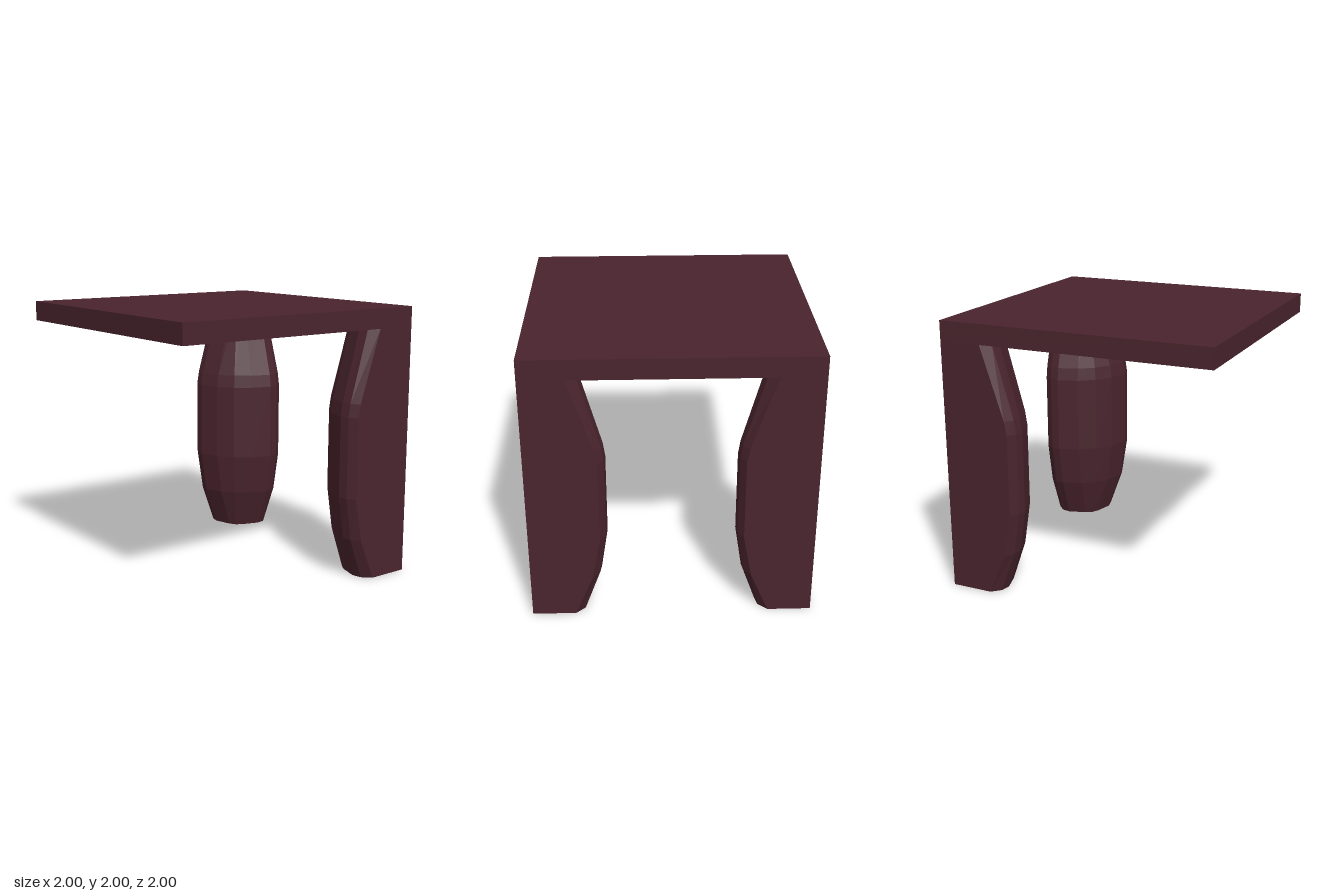
import * as THREE from 'three';

const UNDERSIDE = 1.855;

// Leg levels: height and reach from the square outer corner
const LEVELS = [[0, 0.39], [0.31, 0.5], [0.63, 0.55], [1.23, 0.55], [1.33, 0.535], [UNDERSIDE, 0.39]];

// Half of the cross-section for the slimmest and fullest reach; mirrored over the diagonal
const SLIM = [[0, 0.31], [0.06, 0.375], [0.13, 0.39], [0.27, 0.35], [0.32, 0.32]];
const FULL = [[0, 0.5], [0.06, 0.54], [0.13, 0.55], [0.29, 0.5], [0.41, 0.41]];

function section(reach) {
  const t = (reach - 0.39) / 0.16;
  const half = SLIM.map(([u, v], i) => [
    THREE.MathUtils.lerp(u, FULL[i][0], t),
    THREE.MathUtils.lerp(v, FULL[i][1], t),
  ]);
  const mirrored = half.slice(0, -1).reverse().map(([u, v]) => [v, u]);
  return [[0, 0], ...half, ...mirrored];
}

// Loft the sections; the outer corner sits at x = 1, z = -1
function legGeometry() {
  const positions = [];
  const index = [];
  const n = section(0.39).length;
  for (const [y, reach] of LEVELS) {
    for (const [u, v] of section(reach)) positions.push(1 - u, y, -1 + v);
  }
  for (let r = 0; r < LEVELS.length - 1; r++) {
    for (let i = 0; i < n; i++) {
      const a = r * n + i;
      const b = r * n + (i + 1) % n;
      index.push(a, a + n, b, b, a + n, b + n);
    }
  }
  // End caps fan out from the outer corner
  const top = (LEVELS.length - 1) * n;
  for (let i = 1; i < n - 1; i++) {
    index.push(0, i, i + 1);
    index.push(top, top + i + 1, top + i);
  }
  const geometry = new THREE.BufferGeometry();
  geometry.setAttribute('position', new THREE.Float32BufferAttribute(positions, 3));
  geometry.setIndex(index);
  const faceted = geometry.toNonIndexed();
  faceted.computeVertexNormals();
  return faceted;
}

export function createModel() {
  const model = new THREE.Group();
  model.name = 'table';
  const wood = new THREE.MeshStandardMaterial({ color: 0x4a242e });
  wood.name = 'dark red wood';

  // Square top
  const top = new THREE.Mesh(new THREE.BoxGeometry(2, 2 - UNDERSIDE, 2), wood);
  top.name = 'tableTop';
  top.position.y = (2 + UNDERSIDE) / 2;
  model.add(top);

  // Two bulging legs at the back corners, a quarter turn apart
  const geometry = legGeometry();
  ['backLeftLeg', 'backRightLeg'].forEach((name, i) => {
    const leg = new THREE.Mesh(geometry, wood);
    leg.name = name;
    leg.rotation.y = i * Math.PI / 2;
    model.add(leg);
  });
  return model;
}
